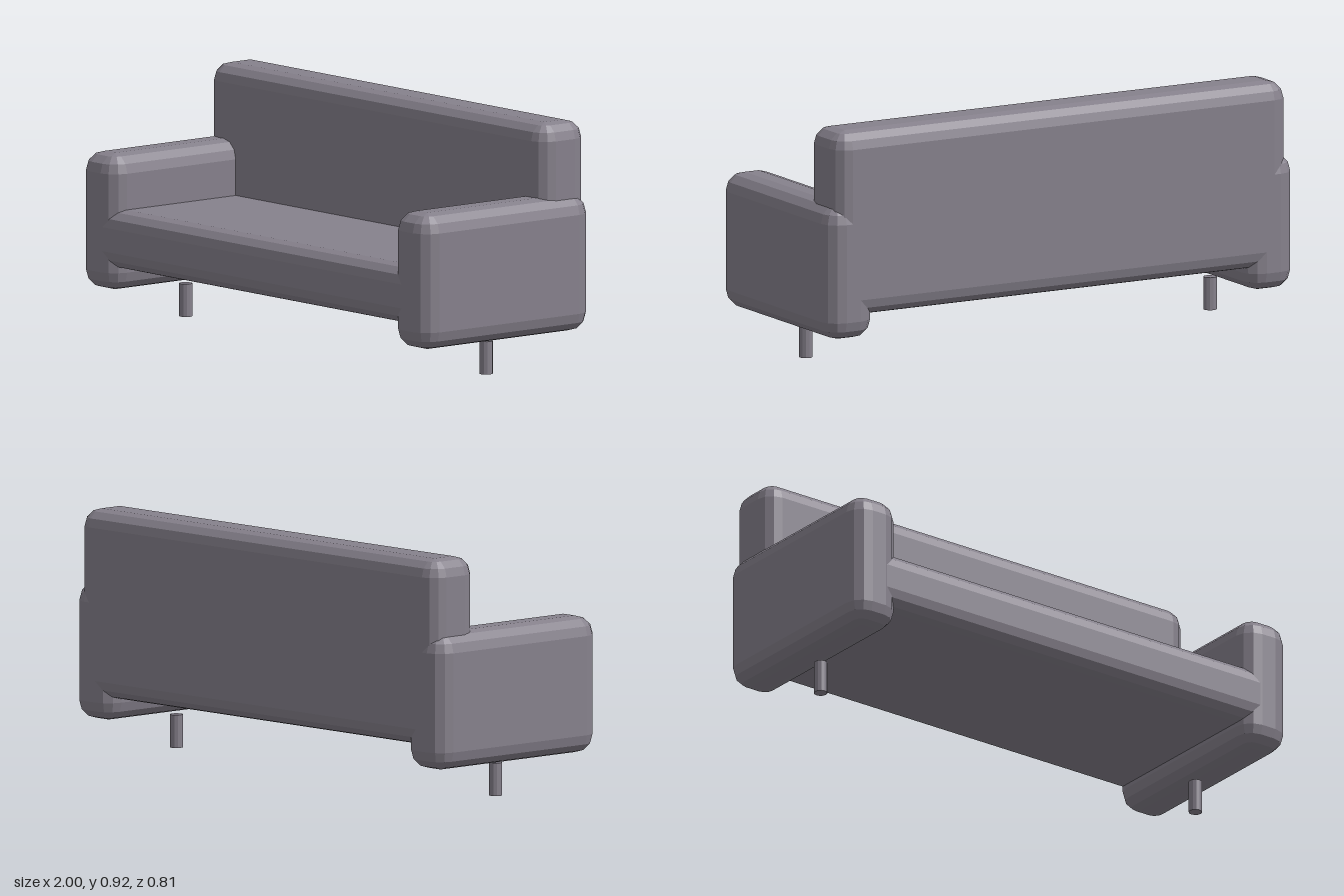
import * as THREE from 'three';
import { ConvexGeometry } from 'three/addons/geometries/ConvexGeometry.js';

const STEPS = 3; // facets across each rounded edge

// Box between two corners, with faceted round edges of radius r
function cushionGeometry(min, max, r) {
  const centre = min.map((v, i) => (v + max[i]) / 2);
  const half = min.map((v, i) => (max[i] - v) / 2 - r);
  const points = [];
  for (const sx of [-1, 1]) for (const sy of [-1, 1]) for (const sz of [-1, 1]) {
    for (let i = 0; i <= STEPS; i++) {
      const lat = (i / STEPS) * Math.PI / 2;
      const count = i === STEPS ? 0 : STEPS; // a single point at the pole
      for (let j = 0; j <= count; j++) {
        const lon = (j / STEPS) * Math.PI / 2;
        points.push(new THREE.Vector3(
          sx * (half[0] + r * Math.cos(lat) * Math.cos(lon)),
          sy * (half[1] + r * Math.sin(lat)),
          sz * (half[2] + r * Math.cos(lat) * Math.sin(lon))
        ));
      }
    }
  }
  return new ConvexGeometry(points).translate(...centre);
}

export function createModel() {
  const sofa = new THREE.Group();
  sofa.name = 'sofa';

  const fabric = new THREE.MeshStandardMaterial({ color: 0x86818c, flatShading: true });
  fabric.name = 'greyFabric';

  const add = (name, geometry) => {
    const mesh = new THREE.Mesh(geometry, fabric);
    mesh.name = name;
    sofa.add(mesh);
  };

  // Seat and backrest
  add('seat', cushionGeometry([-0.935, 0.22, -0.405], [0.935, 0.44, 0.405], 0.065));
  add('backrest', cushionGeometry([-0.968, 0.22, -0.407], [0.968, 0.92, -0.185], 0.065));

  // Armrests and the short legs under them
  for (const [side, s] of [['left', 1], ['right', -1]]) {
    add(side + 'Armrest', cushionGeometry(
      [s * 0.9 - 0.1, 0.135, -0.407], [s * 0.9 + 0.1, 0.645, 0.407], 0.07));
    add(side + 'Leg', new THREE.CylinderGeometry(0.025, 0.025, 0.123, 12)
      .translate(s * 0.866, 0.0615, 0));
  }
  return sofa;
}
